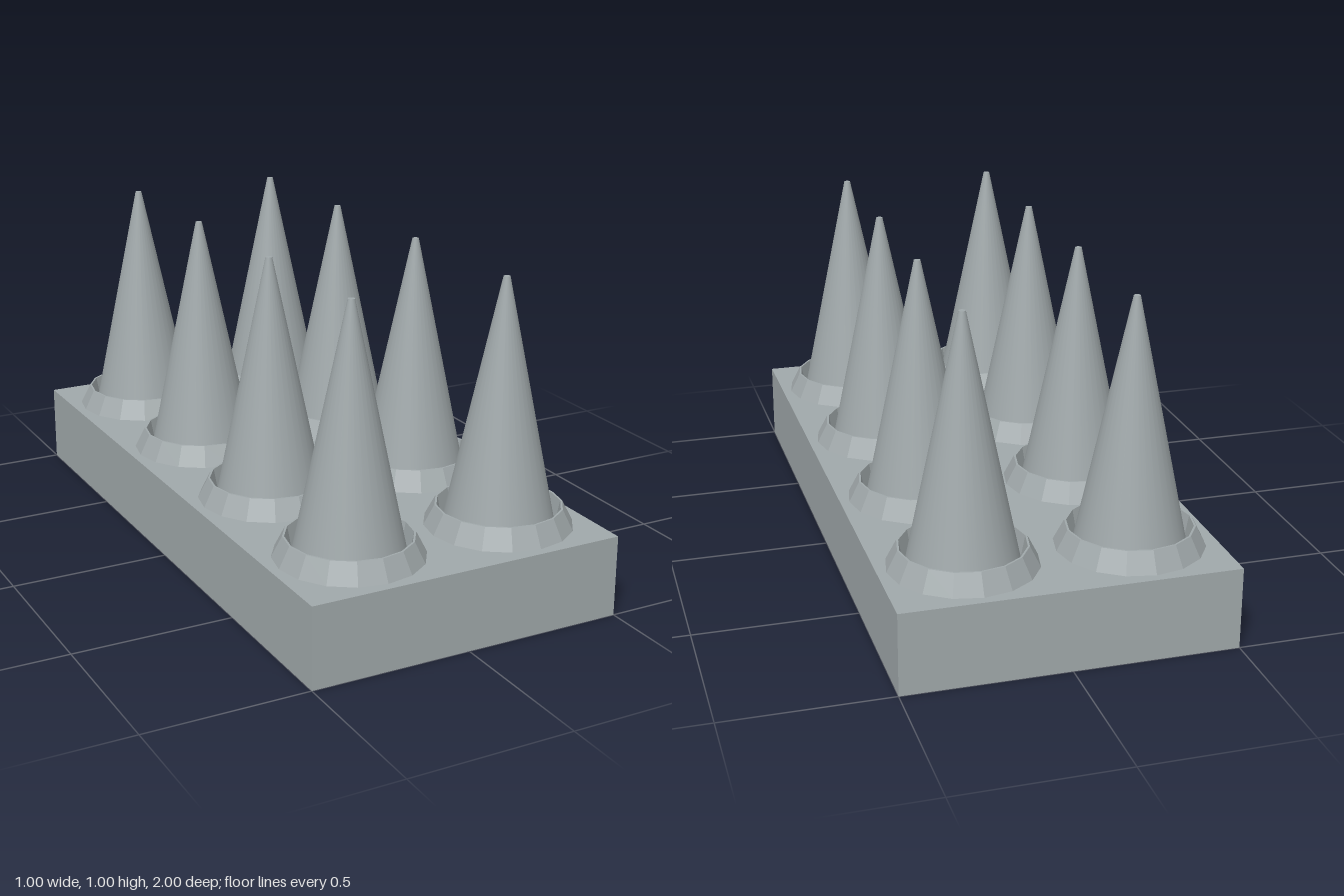
import * as THREE from 'three';

export function createModel() {
  const model = new THREE.Group();
  const grey = new THREE.MeshStandardMaterial({ color: 0xa0a8aa });
  grey.name = 'stone grey';
  const collarGrey = grey.clone();
  collarGrey.flatShading = true;

  const add = (parent, name, geometry, material, y) => {
    const mesh = new THREE.Mesh(geometry, material);
    mesh.name = name;
    mesh.position.y = y;
    parent.add(mesh);
  };

  // Plain block the spikes stand on
  add(model, 'base', new THREE.BoxGeometry(1, 0.25, 2), grey, 0.125);

  // Tapered spike with a blunt tip, and a faceted collar with a groove inside
  const spike = new THREE.CylinderGeometry(0.01, 0.167, 0.75, 32);
  const collar = new THREE.LatheGeometry([
    new THREE.Vector2(0.222, 0),
    new THREE.Vector2(0.19, 0.0625),
    new THREE.Vector2(0.184, 0.0625),
    new THREE.Vector2(0.172, 0),
  ], 16);

  // Two columns of four
  for (const x of [-0.25, 0.25]) {
    for (const z of [-0.75, -0.25, 0.25, 0.75]) {
      const unit = new THREE.Group();
      unit.name = 'spikeUnit';
      unit.position.set(x, 0.25, z);
      add(unit, 'spike', spike, grey, 0.375);
      add(unit, 'collar', collar, collarGrey, 0);
      model.add(unit);
    }
  }
  return model;
}
